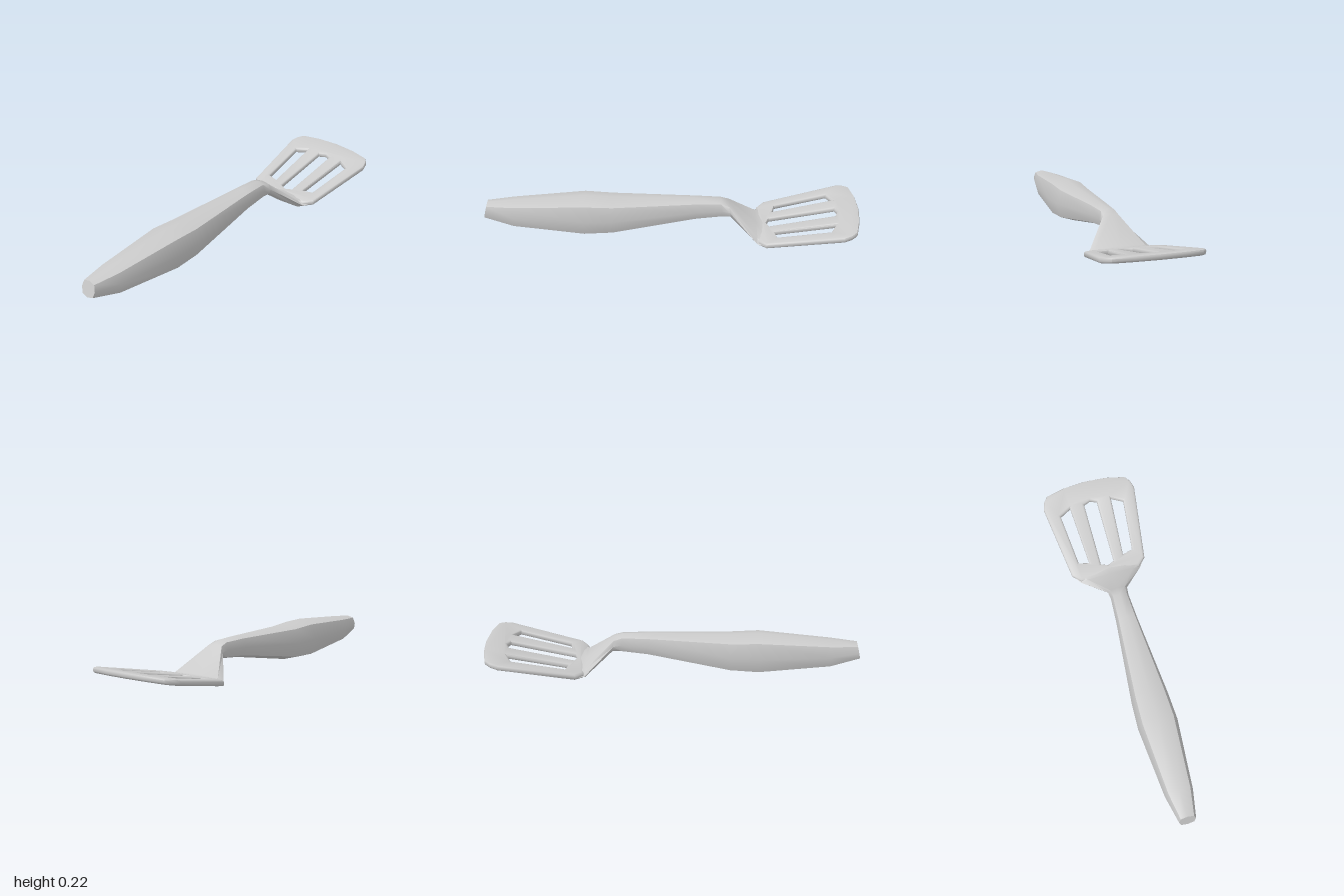
import * as THREE from 'three';
import { toCreasedNormals } from 'three/addons/utils/BufferGeometryUtils.js';

// Eight-sided cross-section: x and y factors of the half sizes
const RING = [[1, 0], [0.78, 0.77], [0, 1], [-0.78, 0.77], [-1, 0], [-0.78, -0.77], [0, -1], [0.78, -0.77]];

// Closed loft through sections [z, halfWidth, bottom, top, lean], ordered from +z to -z
function loft(sections) {
  const n = RING.length, pos = [], idx = [];
  for (const [z, w, bottom, top, lean] of sections) {
    const mid = (top + bottom) / 2, h = (top - bottom) / 2;
    for (const [fx, fy] of RING) pos.push(fx * w, mid + fy * h, z + fy * lean);
  }
  const last = (sections.length - 1) * n, capA = pos.length / 3, capB = capA + 1;
  for (const [z, , bottom, top] of [sections[0], sections[sections.length - 1]]) {
    pos.push(0, (top + bottom) / 2, z);
  }
  for (let j = 0; j < n; j++) {
    const k = (j + 1) % n;
    for (let s = 0; s < last; s += n) {
      idx.push(s + j, s + n + j, s + k, s + k, s + n + j, s + n + k);
    }
    idx.push(capA, j, k, capB, last + k, last + j);
  }
  const geo = new THREE.BufferGeometry();
  geo.setAttribute('position', new THREE.Float32BufferAttribute(pos, 3));
  geo.setIndex(idx);
  return toCreasedNormals(geo, 0.95);
}

const points = (list) => list.map(([x, y]) => new THREE.Vector2(x, y));
const mirrored = (list) => list.map(([x, y]) => [-x, y]).reverse();

// Slotted plate, drawn flat with its length along the shape's y, then sloped upward
function bladeGeometry() {
  const side = [[0.165, 0.465], [0.208, 0.505], [0.262, 0.9], [0.25, 0.94], [0.225, 0.97], [0.12, 0.992]];
  const shape = new THREE.Shape(points([...side, [0, 1], ...mirrored(side)]));

  const sideSlot = [[0.097, 0.55], [0.154, 0.564], [0.181, 0.84], [0.118, 0.873]];
  const middleSlot = [[0, 0.513], [0.037, 0.528], [0.037, 0.873], [0, 0.888], [-0.037, 0.873], [-0.037, 0.528]];
  for (const slot of [sideSlot, middleSlot, mirrored(sideSlot)]) {
    shape.holes.push(new THREE.Path(points(slot)));
  }

  const depth = 0.012;
  const geo = new THREE.ExtrudeGeometry(shape, {
    depth, bevelEnabled: true, bevelThickness: 0.009, bevelSize: 0.012, bevelOffset: -0.012, bevelSegments: 2,
  });
  geo.translate(0, 0, -depth / 2);
  geo.rotateX(-Math.PI / 2);
  const p = geo.attributes.position;
  for (let i = 0; i < p.count; i++) {
    p.setY(i, p.getY(i) + 0.045 + 0.2 * (-p.getZ(i) - 0.52));
  }
  return toCreasedNormals(geo, 0.8);
}

export function createModel() {
  const group = new THREE.Group();
  group.name = 'slottedTurner';
  const material = new THREE.MeshStandardMaterial({ color: 0xcccccc });
  const add = (name, geometry) => {
    const mesh = new THREE.Mesh(geometry, material);
    mesh.name = name;
    group.add(mesh);
  };

  // Swelling grip, slim neck, then the neck flattens and flares down to the blade
  add('handle', loft([
    [0.99, 0.045, 0.085, 0.172, -0.01],
    [0.84, 0.075, 0.04, 0.187, 0],
    [0.46, 0.107, 0.003, 0.22, 0],
    [0.31, 0.1, 0.011, 0.211, 0],
    [-0.13, 0.058, 0.092, 0.209, 0],
    [-0.27, 0.049, 0.107, 0.205, 0.005],
    [-0.315, 0.054, 0.11, 0.188, 0.005],
    [-0.46, 0.17, 0.003, 0.055, 0],
    [-0.505, 0.203, 0.026, 0.055, 0],
  ]));

  add('blade', bladeGeometry());
  return group;
}
